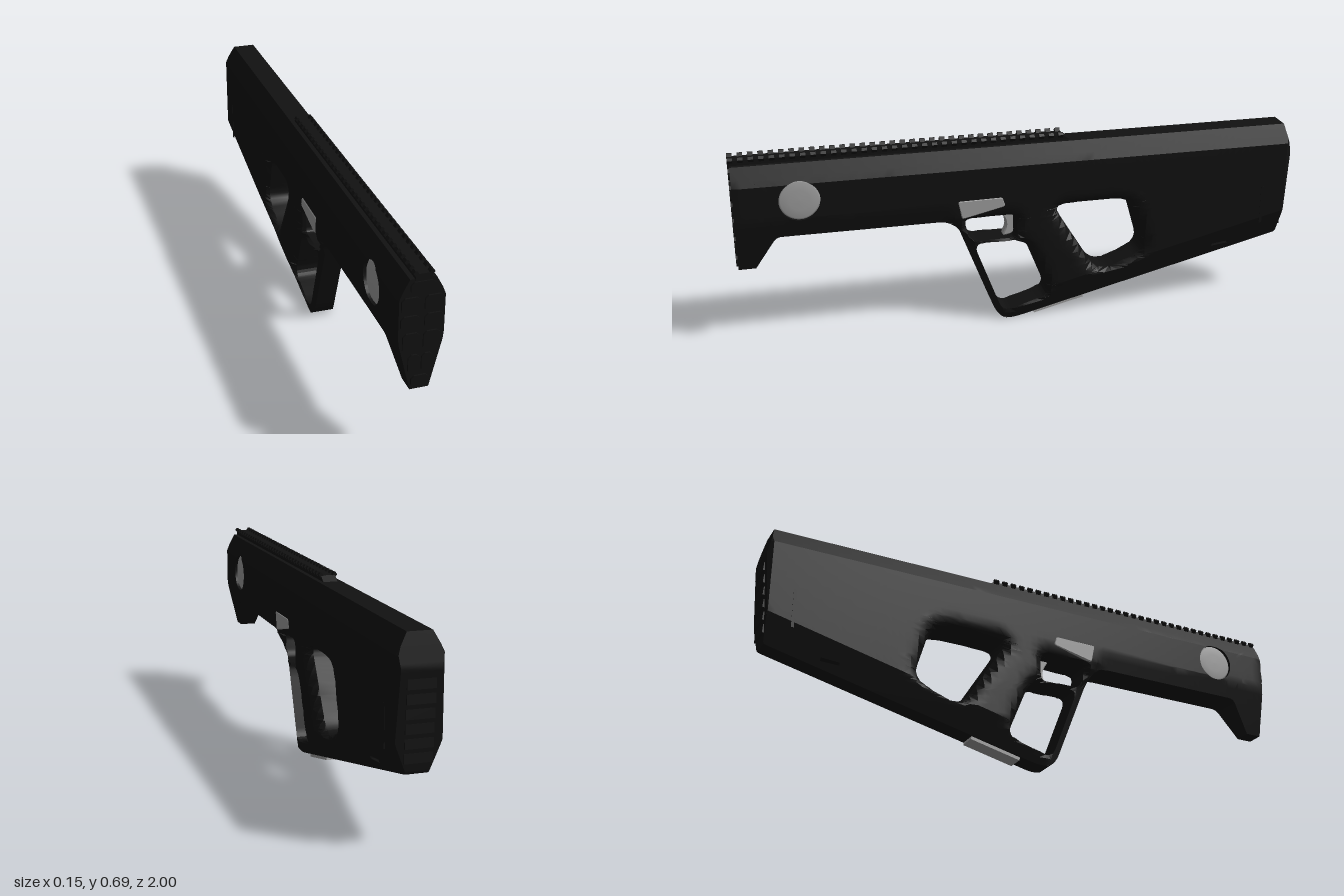
import * as THREE from 'three';
import { toCreasedNormals } from 'three/addons/utils/BufferGeometryUtils.js';

const black = new THREE.MeshStandardMaterial({ color: 0x111111 });
const grey = new THREE.MeshStandardMaterial({ color: 0xa0a0a0 });
const V = (a) => a.map(([x, y]) => new THREE.Vector2(x, y));

// closed polygon with rounded corners; each point is [z, y, radius]
function rounded(pts) {
  const n = pts.length, path = new THREE.Path();
  const P = V(pts);
  P.forEach((p, i) => {
    const r = pts[i][2] || 0;
    const toward = (q) => p.clone().add(q.clone().sub(p).setLength(Math.min(r, p.distanceTo(q) * 0.48)));
    const a = r ? toward(P[(i + n - 1) % n]) : p;
    if (i) path.lineTo(a.x, a.y); else path.moveTo(a.x, a.y);
    if (r) {
      const b = toward(P[(i + 1) % n]);
      path.quadraticCurveTo(p.x, p.y, b.x, b.y);
    }
  });
  const out = path.getPoints(5);
  if (out[0].distanceTo(out[out.length - 1]) < 1e-6) out.pop();
  return out;
}

const OUTLINE = [[0.994, 0.29], [0.994, 0.665], [-0.97, 0.665], [-0.993, 0.56], [-0.97, 0.24, 0.01],
  [0.05, -0.005, 0.05], [0.095, 0.02, 0.04], [0.245, 0.41, 0.06], [0.86, 0.41, 0.02], [0.935, 0.29]];
const GRIP_HOLES = [
  [[0.215, 0.41, 0.03], [0.19, 0.32, 0.03], [0.03, 0.32, 0.02], [0.03, 0.41, 0.02]],
  [[0.18, 0.31, 0.04], [-0.01, 0.31, 0.05], [-0.1, 0.085, 0.04], [0.075, 0.03, 0.04]],
  [[-0.105, 0.435, 0.05], [-0.395, 0.435, 0.06], [-0.455, 0.225, 0.05], [-0.28, 0.15, 0.07]],
].map(rounded);
const SLOT = rounded([[-0.715, 0.212], [-0.715, 0.221], [-0.78, 0.228], [-0.78, 0.217]]);
const DISC = { z: 0.775, y: 0.54, r: 0.07 };
const DISC_HOLE = new THREE.Path().absarc(DISC.z, DISC.y, DISC.r, 0, Math.PI * 2).getPoints(32).slice(0, -1);

// distance from a point to a closed loop
function loopDistance(p, loop) {
  let best = Infinity;
  loop.forEach((a, i) => {
    const b = loop[(i + 1) % loop.length], dx = b.x - a.x, dy = b.y - a.y;
    const t = THREE.MathUtils.clamp(((p.x - a.x) * dx + (p.y - a.y) * dy) / (dx * dx + dy * dy || 1), 0, 1);
    best = Math.min(best, Math.hypot(p.x - a.x - t * dx, p.y - a.y - t * dy));
  });
  return best;
}

// half thickness of the body at side-plane point p (x = z axis, y = height)
function halfWidth(p) {
  const z = p.x, y = p.y;
  let w = Math.min(0.075, 0.04 + 0.54 * (0.665 - y), 0.06 + 0.6 * (z + 1), 0.068 + 0.5 * (1 - z));
  if (z < 0.25) w = Math.min(w, 0.035 + 0.4 * Math.max(0, y - 0.005 + 0.242 * z));
  if (z > 0) w = Math.min(w, 0.03 + 0.24 * (y - 0.29) + 0.4 * Math.max(0, 0.28 - z) + (z < 0.25 ? 0.2 * Math.max(0, 0.4 - y) : 0));
  if (z < 0.3 && y < 0.5) { // front strut of the guard
    const d = ((0.095 - z) * 0.39 + (y - 0.02) * 0.15) / 0.418;
    w = Math.min(w, 0.035 + 0.4 * Math.max(0, d) + 0.4 * Math.max(0, y - 0.33));
  }
  for (const h of GRIP_HOLES) {
    const d = loopDistance(p, h);
    if (d < 0.05) w = Math.min(w, 0.045 + 0.03 * Math.sqrt(1 - (1 - d / 0.05) ** 2));
  }
  return Math.max(w, 0.025);
}

// signed-distance lines that cut the side faces: a regular grid plus the lower crease
const CUTS = [(p) => p.y + 0.242 * p.x - 0.105];
for (let i = -39; i < 40; i++) CUTS.push((p) => p.x - i * 0.025);
for (let i = 1; i < 27; i++) CUTS.push((p) => p.y - i * 0.025);

// part of a polygon on one side (s = 1 or -1) of a cut line
function clip(poly, cut, s) {
  const out = [];
  poly.forEach((a, i) => {
    const b = poly[(i + 1) % poly.length], da = s * cut(a), db = s * cut(b);
    if (da > -1e-7) out.push(a);
    if (da * db < 0 && Math.min(Math.abs(da), Math.abs(db)) > 1e-7) out.push(a.clone().lerp(b, da / (da - db)));
  });
  return out;
}

// slab of varying thickness: gridded side faces joined by rim walls
function bodyGeometry() {
  const pos = [];
  const contour = rounded(OUTLINE), holes = [...GRIP_HOLES, SLOT, DISC_HOLE].map((h) => h.slice());
  if (THREE.ShapeUtils.isClockWise(contour)) contour.reverse();
  holes.forEach((h) => { if (!THREE.ShapeUtils.isClockWise(h)) h.reverse(); });
  const put = (p, s) => pos.push(s * halfWidth(p), p.y, p.x);
  const all = [contour, ...holes].flat();
  for (const t of THREE.ShapeUtils.triangulateShape(contour, holes)) {
    const tri = t.map((i) => all[i]);
    if (THREE.ShapeUtils.isClockWise(tri)) tri.reverse();
    let pieces = [tri];
    for (const cut of CUTS) {
      pieces = pieces.flatMap((q) => {
        const d = q.map(cut);
        const crosses = Math.min(...d) < -1e-7 && Math.max(...d) > 1e-7;
        return crosses ? [clip(q, cut, 1), clip(q, cut, -1)] : [q];
      });
    }
    for (const q of pieces) for (let i = 2; i < q.length; i++) {
      put(q[0], -1); put(q[i - 1], -1); put(q[i], -1);
      put(q[i], 1); put(q[i - 1], 1); put(q[0], 1);
    }
  }
  for (const loop of [contour, ...holes]) loop.forEach((a, i) => {
    const b = loop[(i + 1) % loop.length], ts = [0, 1];
    for (const cut of CUTS) {
      const da = cut(a), db = cut(b);
      if (da * db < 0 && Math.min(Math.abs(da), Math.abs(db)) > 1e-7) ts.push(da / (da - db));
    }
    const row = ts.sort((m, n) => m - n).map((t) => a.clone().lerp(b, t));
    for (let k = 1; k < row.length; k++) {
      const p = row[k - 1], q = row[k];
      put(p, 1); put(q, 1); put(q, -1);
      put(p, 1); put(q, -1); put(p, -1);
    }
  });
  const g = new THREE.BufferGeometry();
  g.setAttribute('position', new THREE.Float32BufferAttribute(pos, 3));
  return toCreasedNormals(g, 0.35);
}

// side-plane polygon extruded across x, centred
function acrossX(points, width, bevel = 0) {
  const g = new THREE.ExtrudeGeometry(new THREE.Shape(points), {
    depth: width - 2 * bevel, bevelEnabled: bevel > 0, bevelSize: bevel, bevelOffset: -bevel, bevelThickness: bevel, bevelSegments: 1 });
  return g.translate(0, 0, bevel - width / 2).rotateY(-Math.PI / 2);
}

export function createModel() {
  const model = new THREE.Group();
  const add = (name, geo, mat = black, parent = model) => {
    const m = new THREE.Mesh(geo, mat);
    m.name = name;
    parent.add(m);
    return m;
  };
  const group = (name) => { const g = new THREE.Group(); g.name = name; model.add(g); return g; };

  add('body', bodyGeometry());

  // top rail: sloped-end base with paired teeth
  const rail = group('topRail');
  add('railBase', acrossX(V([[1, 0.66], [1, 0.683], [-0.145, 0.683], [-0.18, 0.66]]), 0.05), black, rail);
  const tooth = new THREE.Shape(V([[0.016, 0.683], [0.02, 0.674], [0.025, 0.674], [0.033, 0.685], [0.027, 0.693], [0.022, 0.693]]));
  const toothGeo = new THREE.ExtrudeGeometry(tooth, { depth: 0.018, bevelEnabled: false });
  for (let i = 0; i < 34; i++) for (const s of [0, 1]) {
    const t = add('railTooth', toothGeo, black, rail);
    t.position.z = 0.982 - i * 0.0342 + s * 0.018;
    t.rotation.y = s * Math.PI;
  }

  // round side covers, slightly recessed and domed
  const cover = new THREE.LatheGeometry(V([[0.07, 0], [0.07, 0.063], [0.064, 0.067], [0.035, 0.069], [0, 0.0695]]), 48);
  for (const s of [-1, 1]) {
    const c = add('sideCover', cover, grey);
    c.position.set(0, DISC.y, DISC.z);
    c.rotation.z = -s * Math.PI / 2;
  }

  // controls
  add('selector', acrossX(rounded([[0.24, 0.488, 0.01], [0.225, 0.42, 0.01], [0.07, 0.455, 0.01], [0.08, 0.49, 0.01]]), 0.154, 0.003), grey);
  add('trigger', acrossX(rounded([[0.078, 0.415], [0.05, 0.365, 0.04], [0.07, 0.318, 0.01], [0.028, 0.325, 0.02], [0.018, 0.365, 0.03], [0.028, 0.415]]), 0.035, 0.004), grey);
  const plate = add('lowerPlate', new THREE.BoxGeometry(0.062, 0.02, 0.19), grey);
  plate.position.set(0, 0.038, -0.135);
  plate.rotation.x = 0.237;

  // raised panels on the front face: centre x, centre y, half width, half height
  const front = group('frontPanels');
  const panel = (x, y, hw, hh) => {
    const c = 0.01;
    const s = new THREE.Shape(V([[-hw + c, -hh], [hw - c, -hh], [hw, -hh + c], [hw, hh - c], [hw - c, hh], [-hw + c, hh], [-hw, hh - c], [-hw, -hh + c]]));
    add('frontPanel', new THREE.ExtrudeGeometry(s, { depth: 0.008, bevelEnabled: false }), black, front).position.set(x, y, 0.992);
  };
  panel(0, 0.637, 0.038, 0.02);
  panel(0, 0.318, 0.028, 0.02);
  for (const s of [-1, 1]) {
    panel(s * 0.036, 0.58, 0.029, 0.027);
    panel(s * 0.037, 0.522, 0.029, 0.024);
    panel(s * 0.032, 0.455, 0.026, 0.032);
    panel(s * 0.021, 0.38, 0.018, 0.032);
  }

  // ridges on the butt face and thin ribs on the butt sides
  const butt = group('buttPad');
  for (let i = 0; i < 6; i++) {
    const y = 0.29 + i * 0.045;
    const r = add('buttRidge', new THREE.BoxGeometry(0.09, 0.03, 0.012), black, butt);
    r.position.set(0, y, -0.969 - 0.072 * (y - 0.24));
    r.rotation.x = 0.072;
  }
  for (const s of [-1, 1]) {
    add('buttRib', new THREE.BoxGeometry(0.004, 0.14, 0.01), black, butt).position.set(s * 0.074, 0.37, -0.89);
  }
  return model;
}
